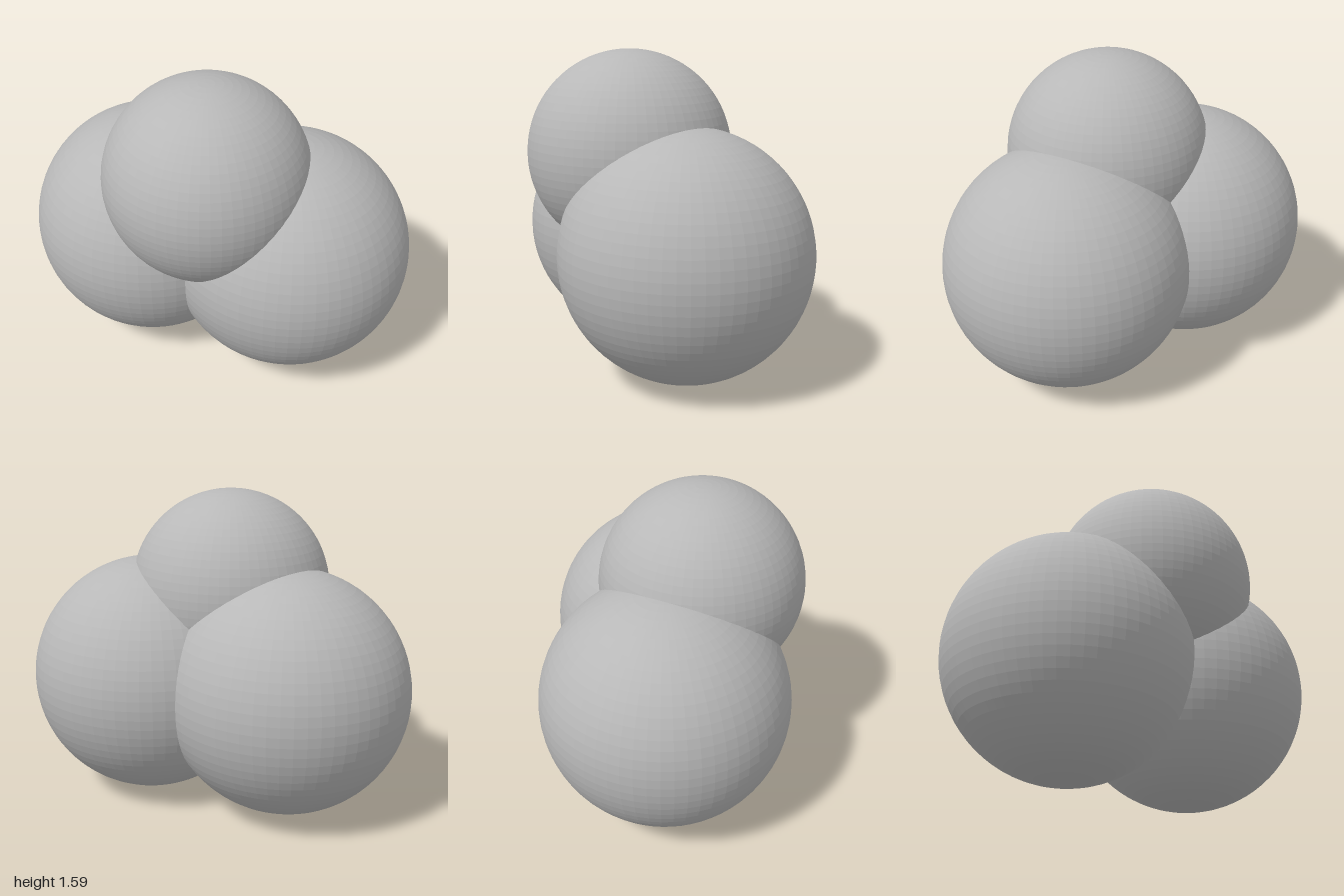
import * as THREE from 'three';

export function createModel() {
  const group = new THREE.Group();
  const grey = new THREE.MeshStandardMaterial({ color: 0xb8b8b8, flatShading: true });
  grey.name = 'grey';

  function addBall(name, radius, x, y, z) {
    const ball = new THREE.Mesh(new THREE.SphereGeometry(radius, 64, 40), grey);
    ball.name = name;
    ball.position.set(x, y, z);
    group.add(ball);
  }

  // Two large balls side by side, overlapping in the middle
  for (const side of [1, -1]) {
    addBall(side > 0 ? 'leftBall' : 'rightBall', 0.619, side * 0.381, 0.619, -0.034);
  }

  // Smaller ball nested on top, set forward
  addBall('topBall', 0.514, 0, 1.073, 0.139);

  return group;
}
